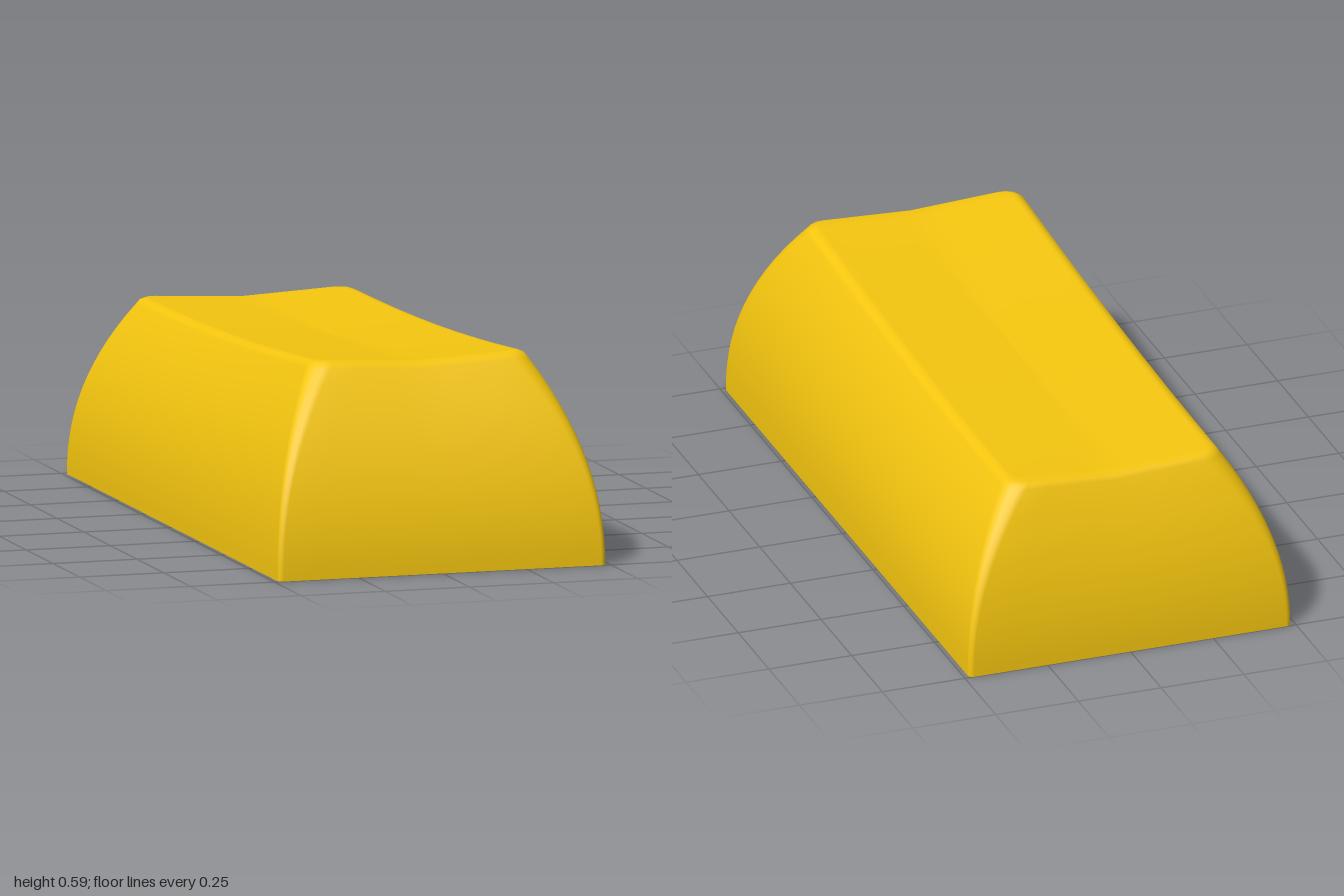
import * as THREE from 'three';

const material = new THREE.MeshStandardMaterial({ color: 0xf5c60f });

// Dished, sloping top surface
function topHeight(x, z) {
  const c = THREE.MathUtils.clamp(z, -0.865, 0.78);
  return 0.541 + 0.0454 * c + 0.0257 * c * c - 0.015 * (1 - Math.min(1, Math.abs(x) / 0.3));
}

// Rounded rectangle in the ground plane, as [x, z] points, with subdivided sides
function outline(hx, front, back, r) {
  const arcs = [[1, -1], [-1, -1], [-1, 1], [1, 1]].map(([sx, sz], k) => {
    const cx = sx * (hx - r), cz = sz < 0 ? -back + r : front - r;
    return [0, 1, 2, 3, 4].map(i => {
      const a = (k + i / 4) * Math.PI / 2;
      return [cx + r * Math.cos(a), cz - r * Math.sin(a)];
    });
  });
  const points = [];
  arcs.forEach((arc, k) => {
    points.push(...arc);
    const [ax, az] = arc[4], [bx, bz] = arcs[(k + 1) % 4][0];
    for (let i = 1; i < 8; i++) points.push([ax + (bx - ax) * i / 8, az + (bz - az) * i / 8]);
  });
  return points;
}

// Skin over closed rings of [x, y, z] points, listed from bottom to top
function loft(rings) {
  const n = rings[0].length, index = [];
  for (let k = 0; k < rings.length - 1; k++) {
    for (let i = 0; i < n; i++) {
      const a = k * n + i, b = k * n + (i + 1) % n;
      index.push(a, b, b + n, a, b + n, a + n);
    }
  }
  const geometry = new THREE.BufferGeometry();
  geometry.setAttribute('position', new THREE.Float32BufferAttribute(rings.flat(2), 3));
  geometry.setIndex(index);
  geometry.computeVertexNormals();
  return geometry;
}

function shellGeometry() {
  const rings = [];
  const lift = (points, u) => points.map(([x, z]) => [x, u * topHeight(x, z), z]);
  // Bowed side walls
  for (let k = 0; k <= 14; k++) {
    const u = 0.965 * k / 14, q = u * u;
    rings.push(lift(outline(0.487 - 0.17 * u ** 2.2, 1 - 0.205 * q, 1 - 0.125 * q, 0.015 + 0.045 * q), u));
  }
  // Rounded upper edge
  rings.push(lift(outline(0.321, 0.798, 0.877, 0.055), 0.988));
  const edge = outline(0.305, 0.782, 0.865, 0.045);
  // Top, shrinking towards its middle
  for (const s of [1, 0.96, 0.8, 0.6, 0.4, 0.2, 0]) {
    rings.push(lift(edge.map(([x, z]) => [x * s, -0.04 + (z + 0.04) * s]), 1));
  }
  return loft(rings);
}

// Flat rim under the walls
function rimGeometry() {
  const shape = new THREE.Shape(outline(0.487, 1, 1, 0.015).map(([x, z]) => new THREE.Vector2(x, z)));
  shape.holes.push(new THREE.Path([[-1, -1], [1, -1], [1, 1], [-1, 1]]
    .map(([x, z]) => new THREE.Vector2(x * 0.405, z * 0.92))));
  return new THREE.ShapeGeometry(shape).rotateX(Math.PI / 2);
}

// Tapered hollow: an open box turned inside out
function cavityGeometry() {
  const box = new THREE.BoxGeometry(0.81, 0.43, 1.84).translate(0, 0.215, 0);
  const p = box.attributes.position;
  for (let i = 0; i < p.count; i++) {
    if (p.getY(i) > 0.2) p.setXYZ(i, p.getX(i) * 0.76, p.getY(i), p.getZ(i) * 0.87);
  }
  const index = Array.from(box.index.array);
  index.splice(18, 6); // open underside
  box.setIndex(index.reverse());
  box.computeVertexNormals();
  return box;
}

// Round post with a cross-shaped socket
function createStem() {
  const radius = 0.14, arm = 0.115, w = 0.038, socketDepth = 0.22;
  const shape = new THREE.Shape().absarc(0, 0, radius, 0, Math.PI * 2, false);
  const cross = [];
  for (let k = 0; k < 4; k++) {
    for (const [x, y] of [[arm, -w], [arm, w], [w, w]]) {
      cross.push(new THREE.Vector2(x, y).rotateAround(new THREE.Vector2(), k * Math.PI / 2));
    }
  }
  shape.holes.push(new THREE.Path(cross));
  const socket = new THREE.ExtrudeGeometry(shape, { depth: socketDepth, bevelEnabled: false, curveSegments: 32 });
  socket.rotateX(-Math.PI / 2);
  const post = new THREE.CylinderGeometry(radius, radius, 0.22, 64);
  post.translate(0, socketDepth + 0.11, 0);
  const stem = new THREE.Group();
  stem.add(part('stemSocket', socket), part('stemPost', post));
  return stem;
}

function part(name, geometry) {
  const mesh = new THREE.Mesh(geometry, material);
  mesh.name = name;
  return mesh;
}

export function createModel() {
  const model = new THREE.Group();
  model.name = 'keycap';
  model.add(
    part('outerShell', shellGeometry()),
    part('bottomRim', rimGeometry()),
    part('innerCavity', cavityGeometry())
  );
  // Three stems along the length
  [['frontStem', 0.64], ['middleStem', 0], ['backStem', -0.64]].forEach(([name, z]) => {
    const stem = createStem();
    stem.name = name;
    stem.position.z = z;
    model.add(stem);
  });
  return model;
}
